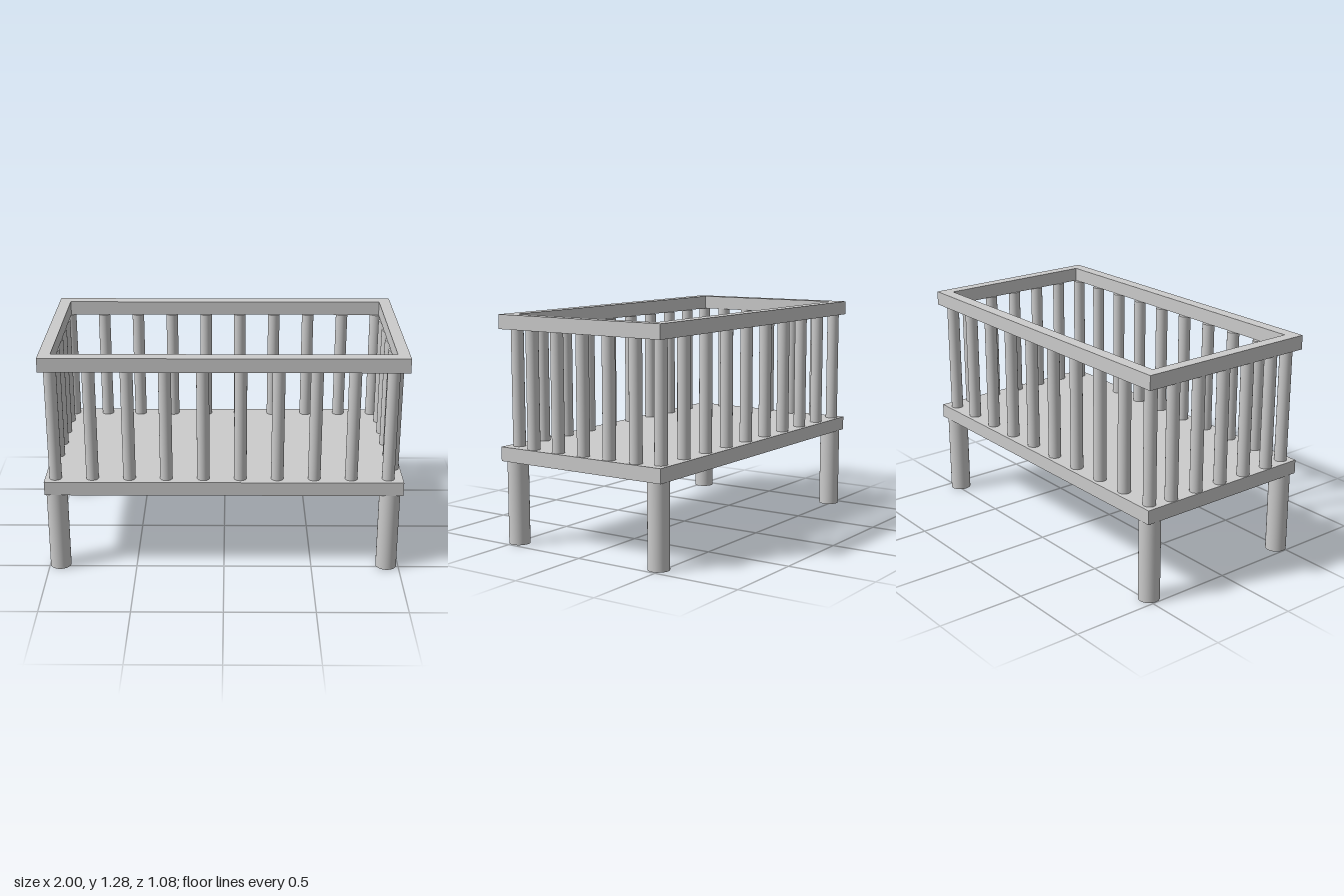
import * as THREE from 'three';

const material = new THREE.MeshStandardMaterial({ color: 0xcccccc });

function add(parent, name, geometry, x, y, z) {
  const mesh = new THREE.Mesh(geometry, material);
  mesh.name = name;
  mesh.position.set(x, y, z);
  parent.add(mesh);
  return mesh;
}

function rectangle(PathType, w, d) {
  const p = new PathType();
  p.moveTo(-w, -d);
  p.lineTo(w, -d);
  p.lineTo(w, d);
  p.lineTo(-w, d);
  p.closePath();
  return p;
}

export function createModel() {
  const crib = new THREE.Group();
  crib.name = 'crib';

  const baseBottom = 0.47, baseTop = 0.55, railBottom = 1.2, railHeight = 0.08;

  // Four round legs
  const legGeometry = new THREE.CylinderGeometry(0.059, 0.059, baseBottom, 32);
  for (const x of [-0.938, 0.931])
    for (const z of [-0.476, 0.479]) add(crib, 'leg', legGeometry, x, baseBottom / 2, z);

  // Solid base board
  add(crib, 'base', new THREE.BoxGeometry(2, baseTop - baseBottom, 1.076), 0, (baseTop + baseBottom) / 2, 0);

  // Rectangular top rail, open in the middle
  const frame = rectangle(THREE.Shape, 1, 0.538);
  frame.holes.push(rectangle(THREE.Path, 0.934, 0.467));
  const railGeometry = new THREE.ExtrudeGeometry(frame, { depth: railHeight, bevelEnabled: false });
  railGeometry.rotateX(-Math.PI / 2);
  add(crib, 'topRail', railGeometry, 0, railBottom, 0);

  // Round slats between base and rail
  const slatHeight = railBottom - baseTop;
  const slatY = baseTop + slatHeight / 2;
  const slatGeometry = new THREE.CylinderGeometry(0.035, 0.035, slatHeight, 32);

  // Long sides: ten slats each
  for (let i = 0; i < 10; i++) {
    const x = -0.941 + i * 0.2065;
    add(crib, 'frontSlat', slatGeometry, x, slatY, 0.478);
    add(crib, 'backSlat', slatGeometry, x, slatY, -0.483);
  }

  // Short ends: five slats each
  for (let i = 0; i < 5; i++) {
    const z = -0.352 + i * 0.1727;
    add(crib, 'leftSlat', slatGeometry, 0.956, slatY, z);
    add(crib, 'rightSlat', slatGeometry, -0.962, slatY, z);
  }

  return crib;
}
